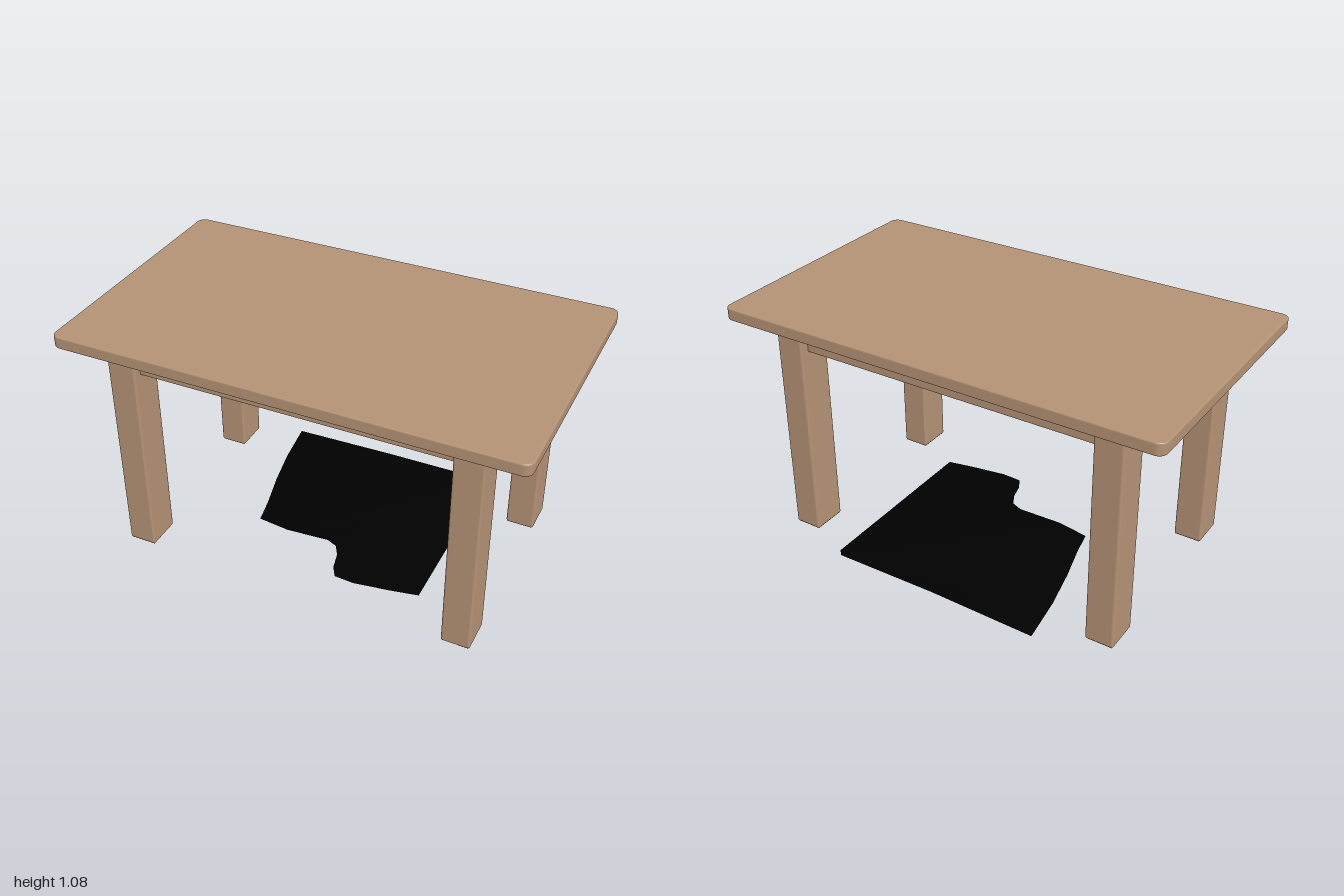
import * as THREE from 'three';
import { RoundedBoxGeometry } from 'three/addons/geometries/RoundedBoxGeometry.js';

const wood = new THREE.MeshStandardMaterial({ color: 0xb49275 });
wood.name = 'wood';
const black = new THREE.MeshStandardMaterial({ color: 0x000000 });
black.name = 'black';

function add(parent, name, geometry, material, x = 0, y = 0, z = 0) {
  const mesh = new THREE.Mesh(geometry, material);
  mesh.name = name;
  mesh.position.set(x, y, z);
  parent.add(mesh);
  return mesh;
}

// Rounded slab lying flat, with softened edges
function tabletopGeometry(w, d, h, r, bevel) {
  const x = w / 2 - bevel, y = d / 2 - bevel;
  const s = new THREE.Shape();
  s.moveTo(-x + r, -y);
  s.lineTo(x - r, -y);
  s.absarc(x - r, -y + r, r, -Math.PI / 2, 0);
  s.absarc(x - r, y - r, r, 0, Math.PI / 2);
  s.absarc(-x + r, y - r, r, Math.PI / 2, Math.PI);
  s.absarc(-x + r, -y + r, r, Math.PI, Math.PI * 1.5);
  const g = new THREE.ExtrudeGeometry(s, {
    depth: h - 2 * bevel, bevelThickness: bevel, bevelSize: bevel, bevelSegments: 3, curveSegments: 8,
  });
  g.rotateX(-Math.PI / 2);
  return g.translate(0, bevel, 0);
}

// Thin floor sheet outline as [x, z]
const outline = [
  [-0.49, -0.58], [-0.46, -0.36], [-0.42, -0.17], [-0.375, 0], [-0.35, 0.12], [-0.2, 0.14],
  [0, 0.13], [0.05, 0.15], [0.08, 0.2], [0.1, 0.28], [0.13, 0.33], [0.22, 0.335],
  [0.38, 0.31], [0.505, 0.285], [0.505, -0.1], [0.505, -0.56], [0.48, -0.585], [0, -0.58],
];

// One face of the sheet: up = 1 faces the table, up = -1 faces the floor
function sheetGeometry(up) {
  const shape = new THREE.Shape(outline.map(([x, z]) => new THREE.Vector2(x, -up * z)));
  const g = new THREE.ShapeGeometry(shape);
  g.rotateX(-up * Math.PI / 2);
  const p = g.attributes.position;
  // the left half dips gently towards the floor
  for (let i = 0; i < p.count; i++) p.setY(i, 0.015 + 0.025 * Math.min(0, p.getX(i)));
  g.computeVertexNormals();
  return g;
}

export function createModel() {
  const table = new THREE.Group();
  table.name = 'table';

  add(table, 'tabletop', tabletopGeometry(2, 1.174, 0.054, 0.032, 0.006), wood, 0, 1.027, 0);

  // Four legs with dark foot pads
  const legGeometry = new RoundedBoxGeometry(0.126, 1.01, 0.158, 3, 0.01);
  const padGeometry = new THREE.BoxGeometry(0.114, 0.004, 0.146);
  for (const sx of [-1, 1]) {
    for (const sz of [-1, 1]) {
      const leg = new THREE.Group();
      leg.name = (sz > 0 ? 'front' : 'back') + (sx > 0 ? 'Left' : 'Right') + 'Leg';
      leg.position.set(sx * 0.746, 0, sz * 0.413);
      add(leg, 'post', legGeometry, wood, 0, 0.525, 0);
      add(leg, 'footPad', padGeometry, black, 0, 0.021, 0);
      table.add(leg);
    }
  }

  // Aprons between the legs, set back from the leg faces
  const longApron = new RoundedBoxGeometry(1.4, 0.135, 0.06, 2, 0.008);
  const shortApron = new RoundedBoxGeometry(0.06, 0.13, 0.7, 2, 0.008);
  for (const s of [-1, 1]) {
    add(table, s > 0 ? 'frontApron' : 'backApron', longApron, wood, 0, 0.967, s * 0.42);
    add(table, s > 0 ? 'leftApron' : 'rightApron', shortApron, wood, s * 0.74, 0.969, 0);
  }

  // Sheet lying on the floor: dark above, wood below
  add(table, 'floorSheetTop', sheetGeometry(1), black, 0, 0.001, 0);
  add(table, 'floorSheetUnderside', sheetGeometry(-1), wood);

  return table;
}
